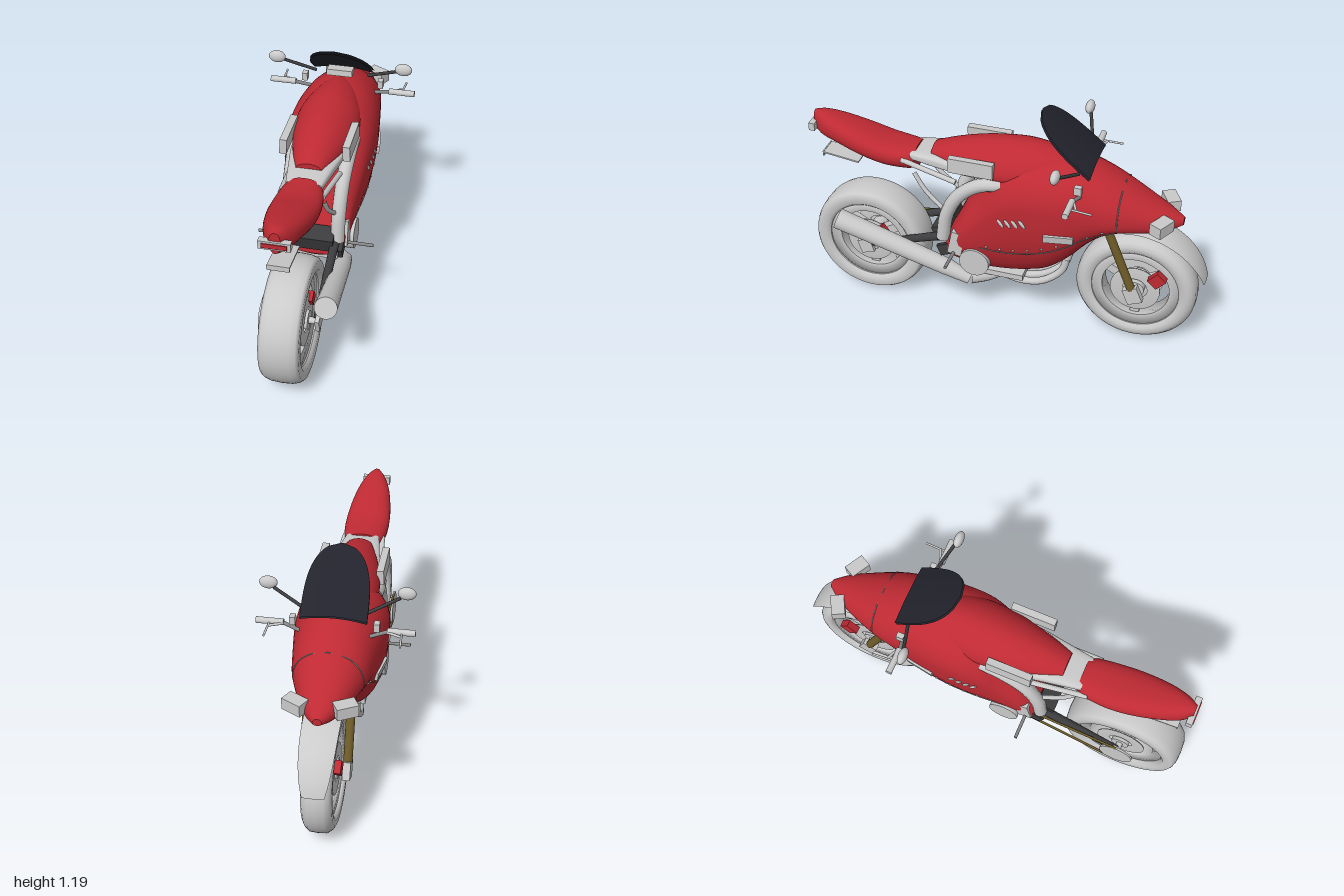
import * as THREE from 'three';

const mat = (name, color, side = THREE.FrontSide) => {
  const m = new THREE.MeshStandardMaterial({ color, side });
  m.name = name;
  return m;
};
const V = (x, y, z) => new THREE.Vector3(x, y, z);

// Smooth interpolation through stations [z, top, bottom, halfWidth, widestY]
function sample(st, z) {
  let i = 0;
  while (i < st.length - 2 && z > st[i + 1][0]) i++;
  const a = st[i], b = st[i + 1], h = b[0] - a[0], t = (z - a[0]) / h;
  const p = st[Math.max(i - 1, 0)], q = st[Math.min(i + 2, st.length - 1)];
  return a.map((v, k) => {
    const m0 = (b[k] - p[k]) / (b[0] - p[0]) * h, m1 = (q[k] - v) / (q[0] - a[0]) * h;
    const t2 = t * t, t3 = t2 * t;
    return (2 * t3 - 3 * t2 + 1) * v + (t3 - 2 * t2 + t) * m0 + (3 * t2 - 2 * t3) * b[k] + (t3 - t2) * m1;
  });
}

// Closed skin over superellipse sections; eu and el shape the upper and lower halves
function loft(st, eu = 2, el = 2, rows = 44, n = 40) {
  const pos = [], idx = [], z0 = st[0][0], z1 = st[st.length - 1][0];
  const pw = (v, e) => Math.sign(v) * Math.abs(v) ** (2 / e);
  const ring = (z) => {
    const [, top, bot, w, ym] = sample(st, z);
    for (let j = 0; j < n; j++) {
      const t = j / n * Math.PI * 2, c = Math.cos(t), e = c > 0 ? eu : el;
      pos.push(w * pw(Math.sin(t), e), ym + pw(c, e) * (c > 0 ? top - ym : ym - bot), z);
    }
  };
  for (let i = 0; i <= rows; i++) ring(z0 + (z1 - z0) * i / rows);
  for (let i = 0; i < rows; i++) for (let j = 0; j < n; j++) {
    const a = i * n + j, b = i * n + (j + 1) % n;
    idx.push(a, a + n, b, b, a + n, b + n);
  }
  for (const z of [z0, z1]) {
    const s = pos.length / 3, q = sample(st, z);
    ring(z);
    pos.push(0, q[4], z);
    for (let j = 0; j < n; j++) {
      const k = s + (j + 1) % n;
      idx.push(s + n, z === z0 ? s + j : k, z === z0 ? k : s + j);
    }
  }
  const g = new THREE.BufferGeometry();
  g.setAttribute('position', new THREE.Float32BufferAttribute(pos, 3));
  g.setIndex(idx);
  g.computeVertexNormals();
  return g;
}

// Open sheet from a rule f(u, v) with u in -1..1 and v in 0..1
function sheet(f, nu = 16, nv = 20) {
  const g = new THREE.PlaneGeometry(2, 1, nu, nv), p = g.attributes.position;
  for (let i = 0; i < p.count; i++) p.setXYZ(i, ...f(p.getX(i), p.getY(i) + 0.5));
  g.computeVertexNormals();
  return g;
}

const BODY = [
  [-0.86, 0.735, 0.7, 0.02, 0.715], [-0.8, 0.765, 0.67, 0.065, 0.715], [-0.71, 0.81, 0.65, 0.11, 0.72],
  [-0.55, 0.895, 0.635, 0.168, 0.73], [-0.44, 0.945, 0.55, 0.187, 0.74], [-0.34, 0.97, 0.43, 0.202, 0.745],
  [-0.23, 0.975, 0.335, 0.214, 0.75], [-0.1, 0.96, 0.29, 0.214, 0.74], [0, 0.9, 0.272, 0.2, 0.69],
  [0.06, 0.82, 0.27, 0.187, 0.62], [0.12, 0.74, 0.275, 0.175, 0.56], [0.18, 0.66, 0.28, 0.165, 0.5],
  [0.23, 0.56, 0.3, 0.155, 0.45], [0.27, 0.48, 0.335, 0.145, 0.4]];
const EU = 2.1, EL = 2.3;
const bodyX = (z, y) => {
  const [, top, bot, w, ym] = sample(BODY, z);
  const e = y > ym ? EU : EL, k = Math.min(1, Math.abs(y - ym) / (y > ym ? top - ym : ym - bot));
  return w * (1 - k ** e) ** (1 / e);
};

export function createModel() {
  const root = new THREE.Group();
  root.name = 'motorcycle';
  const red = mat('red paint', 0xbf2a33), light = mat('light grey', 0xcacaca), grey = mat('mid grey', 0x858585);
  const dark = mat('dark grey', 0x3c3c3e), brown = mat('bronze', 0x6e5c28);
  const glass = mat('dark screen', 0x22232c, THREE.DoubleSide), sheetGrey = mat('fender grey', 0xcacaca, THREE.DoubleSide);

  const add = (name, geo, m, x = 0, y = 0, z = 0, rx = 0, ry = 0, rz = 0, parent = root) => {
    const o = new THREE.Mesh(geo, m);
    o.name = name;
    o.position.set(x, y, z);
    o.rotation.set(rx, ry, rz);
    parent.add(o);
    return o;
  };
  const box = (name, m, w, h, d, ...rest) => add(name, new THREE.BoxGeometry(w, h, d), m, ...rest);
  const disc = (name, m, r, w, x, y, z) => add(name, new THREE.CylinderGeometry(r, r, w, 32), m, x, y, z, 0, 0, Math.PI / 2);
  const rod = (name, m, a, b, r1, r2 = r1) => {
    const o = add(name, new THREE.CylinderGeometry(r2, r1, a.distanceTo(b), 20), m);
    o.position.copy(a).add(b).multiplyScalar(0.5);
    o.quaternion.setFromUnitVectors(V(0, 1, 0), b.clone().sub(a).normalize());
  };
  const tube = (name, m, pts, r) =>
    add(name, new THREE.TubeGeometry(new THREE.CatmullRomCurve3(pts), 40, r, 12), m);
  // Fixes a part to the fairing side, facing along the surface
  const stick = (name, geo, m, z, y, s, roll = 0) => {
    const e = 0.01, x = bodyX(z, y), o = add(name, geo, m, s * x, y, z);
    const ny = (bodyX(z, y - e) - bodyX(z, y + e)) / (2 * e), nz = (bodyX(z - e, y) - bodyX(z + e, y)) / (2 * e);
    o.lookAt(s * x + s, y + ny, z + nz);
    o.rotateZ(s * roll);
  };

  // Painted shells
  add('fairing', loft(BODY, EU, EL), red);
  add('tank', loft([[-0.36, 0.962, 0.92, 0.05, 0.93], [-0.25, 0.995, 0.87, 0.105, 0.91], [-0.1, 1.012, 0.82, 0.15, 0.88],
    [0.05, 1, 0.82, 0.145, 0.87], [0.15, 0.982, 0.84, 0.125, 0.875], [0.26, 0.952, 0.855, 0.095, 0.88],
    [0.36, 0.915, 0.87, 0.06, 0.885]], 1.8, 2.4), red);
  add('tail', loft([[0.44, 0.893, 0.775, 0.083, 0.83], [0.48, 0.892, 0.765, 0.098, 0.835], [0.6, 0.905, 0.768, 0.11, 0.845],
    [0.72, 0.94, 0.795, 0.105, 0.87], [0.85, 0.975, 0.835, 0.083, 0.905], [0.93, 0.99, 0.855, 0.055, 0.92],
    [0.975, 0.985, 0.88, 0.025, 0.935]], 2.4, 2), red);
  add('seat', loft([[-0.05, 0.855, 0.835, 0.13, 0.845], [0.15, 0.88, 0.83, 0.13, 0.85], [0.32, 0.89, 0.83, 0.105, 0.855],
    [0.46, 0.882, 0.84, 0.083, 0.86]], 4, 4, 16), light);

  // Windscreen with a front and a back skin
  for (const d of [0, 0.012]) add('windscreen', sheet((u, v) => {
    const x = u * (0.147 * Math.sqrt(1 - v ** 3.4) + 0.004);
    return [x, 0.978 + 0.22 * v - 0.8 * x * x - d, -0.44 + 0.27 * v + d * 0.5];
  }), glass);
  box('instruments', light, 0.125, 0.03, 0.06, 0, 1, -0.335, -0.1);

  // Tail light and licence plate
  box('tailLightHousing', light, 0.14, 0.04, 0.03, 0, 0.925, 0.97);
  box('tailLightLens', red, 0.11, 0.022, 0.006, 0, 0.925, 0.986);
  box('licencePlate', light, 0.1, 0.008, 0.185, 0, 0.763, 0.838, -0.13);
  box('plateLip', light, 0.1, 0.026, 0.006, 0, 0.768, 0.93);

  // Wheels
  const wheel = (name, z, R, w, round) => {
    const g = new THREE.Group();
    g.name = name;
    g.position.set(0, R + 0.004, z);
    root.add(g);
    const lathe = (n, m, pts) =>
      add(n, new THREE.LatheGeometry(pts.map(p => new THREE.Vector2(...p)), 64), m, 0, 0, 0, 0, 0, Math.PI / 2, g);
    const half = [[R, 0], [R - 0.003, w * 0.55], [R - round, w * 0.85], [R - round * 2, w], [R - 0.065, w], [0.215, w * 0.8]];
    lathe('tyre', light, [...half.map(([r, a]) => [r, -a]).reverse(), ...half.slice(1), [0.205, 0], [0.215, -w * 0.8]]);
    lathe('rim', light, [[0.166, -w * 0.6], [0.222, -w * 0.75], [0.222, w * 0.75], [0.166, w * 0.6], [0.166, -w * 0.6]]);
    for (const s of [-1, 1]) lathe('brakeDisc', light, [[0.06, s * w * 0.7 - 0.004], [0.122, s * w * 0.7 - 0.004],
      [0.122, s * w * 0.7 + 0.004], [0.06, s * w * 0.7 + 0.004], [0.06, s * w * 0.7 - 0.004]]);
    add('hub', new THREE.CylinderGeometry(0.045, 0.045, w * 1.7, 24), light, 0, 0, 0, 0, 0, Math.PI / 2, g);
    add('axle', new THREE.CylinderGeometry(0.016, 0.016, w * 2.5, 16), light, 0, 0, 0, 0, 0, Math.PI / 2, g);
    for (let i = 0; i < 3; i++) {
      const a = (i + 0.5) / 3 * Math.PI * 2;
      box('spoke', light, w * 0.6, 0.15, 0.045, 0, Math.cos(a) * 0.105, Math.sin(a) * 0.105, a, 0, 0, g);
    }
  };
  wheel('rearWheel', 0.703, 0.297, 0.092, 0.012);
  wheel('frontWheel', -0.662, 0.297, 0.07, 0.02);
  box('rearCaliper', red, 0.03, 0.06, 0.05, 0.07, 0.375, 0.635, 0.6);

  // Front fender arching over the wheel
  add('frontFender', sheet((u, v) => {
    const a = 1.75 - 1.47 * v, x = u * (0.085 - 0.035 * v ** 4), r = 0.352 - 1.5 * x * x;
    return [x, 0.305 + r * Math.sin(a), -0.655 - r * Math.cos(a)];
  }), sheetGrey);

  // Exhaust on one side
  const pipeEnd = V(0.135, 0.235, 0.15), neck = V(0.14, 0.285, 0.27);
  rod('mufflerNeck', light, pipeEnd, neck, 0.03, 0.043);
  rod('muffler', light, neck, V(0.18, 0.488, 0.82), 0.043, 0.052);
  tube('collector', light, [V(0, 0.235, 0), V(0.06, 0.22, 0.07), pipeEnd], 0.028);
  for (const x of [-0.09, -0.03, 0.03, 0.09])
    tube('headerPipe', light, [V(x, 0.44, -0.33), V(x, 0.36, -0.305), V(x, 0.275, -0.21), V(x * 0.8, 0.238, -0.1), V(x * 0.4, 0.235, 0.04)], 0.018);
  box('bellyPlate', light, 0.2, 0.03, 0.3, 0, 0.268, 0.04);

  // Drive chain on one side only
  disc('rearSprocket', light, 0.085, 0.01, -0.135, 0.3, 0.703);
  for (const s of [-1, 1]) rod('chainRun', brown, V(-0.135, 0.3 + s * 0.082, 0.7), V(-0.135, 0.385 + s * 0.04, 0.24), 0.006);

  // Swingarm pivot
  box('pivotBlock', dark, 0.22, 0.08, 0.09, 0, 0.46, 0.3, 0.3);

  for (const s of [-1, 1]) {
    // Frame, subframe and swingarm
    tube('frameTube', light, [V(s * 0.13, 0.83, -0.02), V(s * 0.13, 0.8, 0.1), V(s * 0.125, 0.72, 0.2), V(s * 0.122, 0.6, 0.265), V(s * 0.12, 0.45, 0.29)], 0.034);
    rod('subframeRail', light, V(s * 0.095, 0.845, 0.5), V(s * 0.115, 0.785, 0.22), 0.013);
    tube('subframeStrut', light, [V(s * 0.088, 0.78, 0.44), V(s * 0.095, 0.69, 0.38), V(s * 0.105, 0.6, 0.28)], 0.011);
    rod('swingarm', dark, V(s * 0.112, 0.45, 0.3), V(s * 0.112, 0.31, 0.7), 0.022, 0.016);
    box('axlePlate', light, 0.02, 0.075, 0.07, s * 0.122, 0.305, 0.703, 0.3);
    box('sideBracket', light, 0.03, 0.13, 0.07, s * 0.145, 0.45, 0.21, -0.2);
    disc('engineCover', light, 0.075, 0.05, s * 0.152, 0.37, 0.115);
    rod('footPeg', grey, V(s * 0.13, 0.395, 0.225), V(s * 0.282, 0.395, 0.225), 0.008);
    box('pegBracket', dark, 0.02, 0.06, 0.1, s * 0.137, 0.4, 0.26, 0.4);
    // Tank side panel
    box('tankPanel', light, 0.034, 0.075, 0.22, s * 0.148, 0.908, 0.13, 0, 0, s * 0.04);
    // Fork, axle clamp and caliper
    rod('forkLeg', brown, V(s * 0.1, 0.335, -0.652), V(s * 0.1, 0.76, -0.482), 0.021);
    box('axleClamp', light, 0.035, 0.085, 0.075, s * 0.1, 0.303, -0.662, 0.4);
    box('brakeCaliper', red, 0.035, 0.07, 0.06, s * 0.075, 0.4, -0.77, -0.75);
    // Headlight
    box('headlight', light, 0.1, 0.058, 0.065, s * 0.11, 0.738, -0.775, 0, -s * 0.5, 0);
    // Handlebar, lever and reservoir
    rod('barStub', grey, V(s * 0.15, 0.86, -0.4), V(s * 0.24, 0.885, -0.38), 0.009);
    rod('handGrip', light, V(s * 0.235, 0.887, -0.38), V(s * 0.362, 0.887, -0.38), 0.015);
    rod('leverArm', light, V(s * 0.24, 0.885, -0.39), V(s * 0.3, 0.885, -0.415), 0.006);
    rod('lever', light, V(s * 0.3, 0.885, -0.39), V(s * 0.305, 0.88, -0.49), 0.005);
    box('reservoir', light, 0.026, 0.04, 0.035, s * 0.19, 0.917, -0.395);
    // Mirror
    rod('mirrorStalk', dark, V(s * 0.13, 0.965, -0.38), V(s * 0.285, 1.035, -0.33), 0.008);
    add('mirror', new THREE.SphereGeometry(1, 24, 16), light, s * 0.312, 1.053, -0.318).scale.set(0.042, 0.031, 0.022);
    // Fairing vents, indicator plate, seam and bolts
    stick('sidePlate', new THREE.BoxGeometry(0.14, 0.04, 0.02), light, -0.31, 0.627, s);
    for (let i = 0; i < 4; i++) {
      const geo = new THREE.SphereGeometry(1, 12, 8).scale(0.009, 0.026, 0.006);
      stick('ventSlot', geo, light, -0.03 - i * 0.036, 0.662 + i * 0.008, s, 0.65);
    }
    const seam = [[0.09, 0.465], [-0.05, 0.475], [-0.18, 0.503], [-0.26, 0.53], [-0.34, 0.57], [-0.44, 0.637], [-0.52, 0.662],
      [-0.57, 0.69], [-0.575, 0.74], [-0.575, 0.79], [-0.575, 0.83], [-0.575, 0.86]].map(([z, y]) => V(s * bodyX(z, y), y, z));
    seam.push(V(0, sample(BODY, -0.575)[1], -0.575));
    tube('seam', grey, seam, 0.003);
    for (let i = 0; i < 9; i++) {
      const z = 0.05 - i * 0.07, y = 0.485 + 0.2 * (i / 8) ** 1.7;
      stick('bolt', new THREE.SphereGeometry(0.006, 8, 6), light, z, y, s);
    }
  }
  return root;
}
